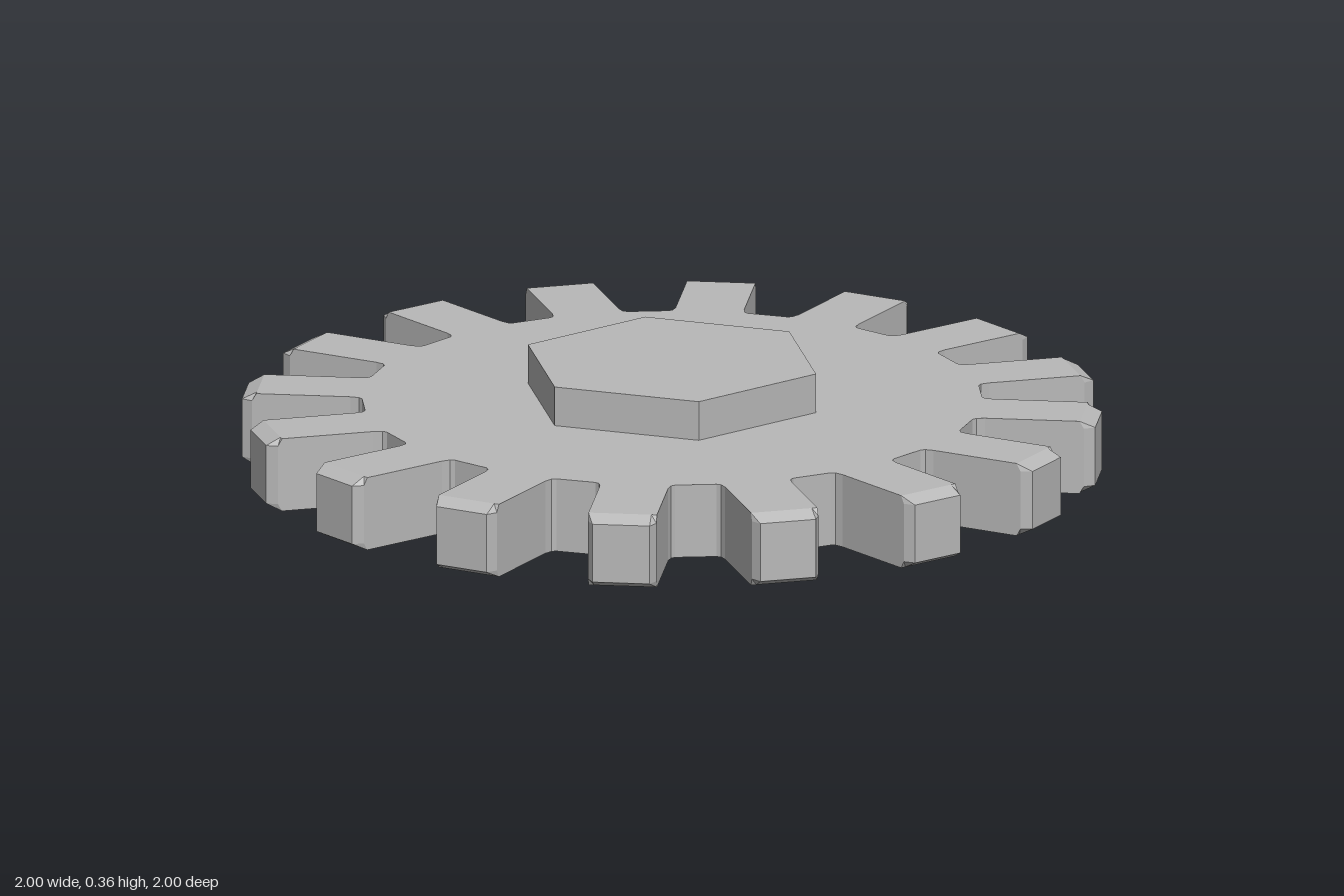
import * as THREE from 'three';

const TEETH = 16;
const STEP = (Math.PI * 2) / TEETH;
const OFFSET = STEP / 4;          // angle of the first tooth
const MID_Y = 0.181;              // height of the wheel's middle plane
const HALF = 0.0875;              // half thickness of the wheel
const FLAT = 0.07;                // half height of the upright tooth tip
const BEVEL_START = 0.963;        // radius where the tip bevel begins

// One tooth as [radius along the tooth, sideways]: fillet, flank, clipped corner
const HALF_TOOTH = [[0.714, 0.093], [0.722, 0.084], [0.742, 0.08], [0.973, 0.08], [0.998, 0.067]];

function createWheelGeometry() {
  const profile = [
    ...HALF_TOOTH.map(([r, s]) => [r, -s]),
    ...[...HALF_TOOTH].reverse(),
  ];
  const points = [];
  for (let i = 0; i < TEETH; i++) {
    const a = OFFSET + i * STEP;
    for (const [r, s] of profile) points.push(new THREE.Vector2(r, s).rotateAround(new THREE.Vector2(), a));
  }
  const geometry = new THREE.ExtrudeGeometry(new THREE.Shape(points), {
    depth: 3, steps: 3, bevelEnabled: false,
  });

  // Space the four layers, and pull the outer layers in to bevel the tooth tips
  const levels = [-HALF, -FLAT, FLAT, HALF];
  const pos = geometry.attributes.position;
  const origin = new THREE.Vector2();
  for (let i = 0; i < pos.count; i++) {
    const layer = Math.round(pos.getZ(i));
    const p = new THREE.Vector2(pos.getX(i), pos.getY(i));
    if (layer === 0 || layer === 3) {
      const a = OFFSET + Math.round((p.angle() - OFFSET) / STEP) * STEP;
      p.rotateAround(origin, -a);
      p.x = Math.min(p.x, BEVEL_START);
      p.rotateAround(origin, a);
    }
    pos.setXYZ(i, p.x, p.y, levels[layer]);
  }
  geometry.rotateX(-Math.PI / 2);
  geometry.computeVertexNormals();
  return geometry;
}

export function createModel() {
  const group = new THREE.Group();
  group.name = 'gear';
  const grey = new THREE.MeshStandardMaterial({ color: 0xb8b8b8 });
  grey.name = 'grey metal';

  // Toothed wheel
  const wheel = new THREE.Mesh(createWheelGeometry(), grey);
  wheel.name = 'toothedWheel';
  wheel.position.y = MID_Y;
  group.add(wheel);

  // Hexagonal hub standing out on both faces
  const hubGeometry = new THREE.CylinderGeometry(0.356, 0.356, MID_Y * 2, 6).toNonIndexed();
  hubGeometry.computeVertexNormals();
  const hub = new THREE.Mesh(hubGeometry, grey);
  hub.name = 'hexagonalHub';
  hub.position.y = MID_Y;
  group.add(hub);

  return group;
}
